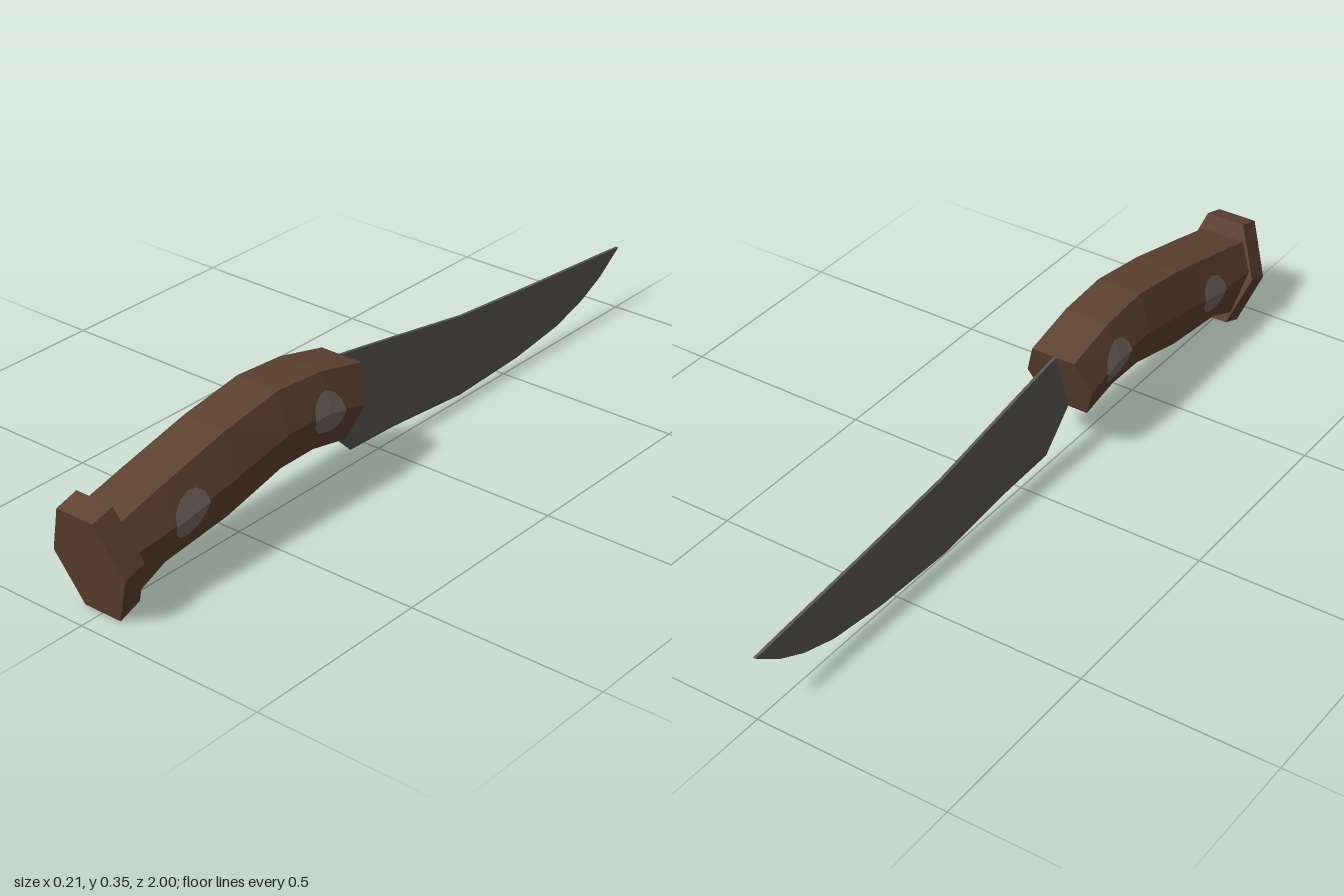
import * as THREE from 'three';

// Skins rings of points, ordered by rising z and anticlockwise seen from +z, with flat faces and caps.
function loft(rings) {
  const pos = [];
  const tri = (a, b, c) => pos.push(...a, ...b, ...c);
  const n = rings[0].length;
  for (let i = 0; i < rings.length - 1; i++) {
    for (let j = 0; j < n; j++) {
      const k = (j + 1) % n;
      tri(rings[i][j], rings[i][k], rings[i + 1][k]);
      tri(rings[i][j], rings[i + 1][k], rings[i + 1][j]);
    }
  }
  const first = rings[0], last = rings[rings.length - 1];
  for (let j = 1; j < n - 1; j++) {
    tri(first[0], first[j + 1], first[j]);
    tri(last[0], last[j], last[j + 1]);
  }
  const g = new THREE.BufferGeometry();
  g.setAttribute('position', new THREE.Float32BufferAttribute(pos, 3));
  g.computeVertexNormals();
  return g;
}

// Six-sided section from [z, y] of its bottom, ridge and top.
const hexRing = (bottom, mid, top, narrow, wide) =>
  [[narrow, bottom], [wide, mid], [narrow, top], [-narrow, top], [-wide, mid], [-narrow, bottom]]
    .map(([x, [z, y]]) => [x, y, z]);

// Thin section with a small sharpened wedge along its lower edge.
function bladeRing([bz, by], [tz, ty], t) {
  const f = 0.04, z = bz + (tz - bz) * f, y = by + (ty - by) * f;
  return [[0, by, bz], [t, y, z], [t, ty, tz], [-t, ty, tz], [-t, y, z]];
}

export function createModel() {
  const wood = new THREE.MeshStandardMaterial({ name: 'brown wood', color: 0x5e4130 });
  const steel = new THREE.MeshStandardMaterial({ name: 'dark steel', color: 0x585655 });
  const pin = new THREE.MeshStandardMaterial({ name: 'rivet grey', color: 0x74665f });
  const knife = new THREE.Group();
  knife.name = 'knife';
  const add = (name, geometry, material) => {
    const mesh = new THREE.Mesh(geometry, material);
    mesh.name = name;
    knife.add(mesh);
    return mesh;
  };

  // Curved handle: bottom, ridge and top of each section
  const grip = [
    [[0.195, 0.13], [0.165, 0.217], [0.135, 0.305]],
    [[0.31, 0.153], [0.285, 0.25], [0.28, 0.34]],
    [[0.42, 0.152], [0.425, 0.252], [0.425, 0.35]],
    [[0.6, 0.11], [0.6, 0.217], [0.6, 0.323]],
    [[0.8, 0.087], [0.8, 0.185], [0.8, 0.276]],
    [[0.895, 0.046], [0.915, 0.172], [0.94, 0.241]],
  ];
  add('handle', loft(grip.map(([b, m, t]) => hexRing(b, m, t, 0.06, 0.093))), wood);

  // Tilted end cap
  add('pommel', loft([
    hexRing([0.875, 0.022], [0.907, 0.154], [0.94, 0.287], 0.053, 0.106),
    hexRing([0.935, 0], [0.967, 0.135], [1, 0.27], 0.053, 0.106),
  ]), wood);

  // Blade, from tip to handle: lower edge and spine
  const outline = [
    [[-1, 0.174], [-1, 0.174]],
    [[-0.92, 0.115], [-0.92, 0.181]],
    [[-0.84, 0.075], [-0.84, 0.187]],
    [[-0.737, 0.043], [-0.737, 0.195]],
    [[-0.56, 0.02], [-0.61, 0.205]],
    [[-0.325, 0.01], [-0.325, 0.23]],
    [[-0.06, 0.032], [-0.06, 0.274]],
    [[0.1, 0.037], [0.1, 0.3]],
    [[0.195, 0.13], [0.135, 0.305]],
  ];
  const blade = add('blade', loft(outline.map(([b, t]) => bladeRing(b, t, 0.004))), steel);
  blade.position.x = -0.005;

  // Height of the handle's side ridge at any z
  const ridge = (z) => {
    const m = grip.map((s) => s[1]);
    let i = 0;
    while (i < m.length - 2 && z > m[i + 1][0]) i++;
    return THREE.MathUtils.mapLinear(z, m[i][0], m[i + 1][0], m[i][1], m[i + 1][1]);
  };

  // Rivet plates folded over the ridge on both sides
  for (const side of [1, -1]) {
    for (const [name, z0] of [['frontRivet', 0.285], ['rearRivet', 0.742]]) {
      let g = new THREE.CircleGeometry(0.054, 12);
      const p = g.attributes.position;
      for (let i = 0; i < p.count; i++) {
        const z = z0 - side * p.getX(i), dy = p.getY(i);
        p.setXYZ(i, side * (0.096 - 0.32 * Math.abs(dy)), ridge(z) + dy - 0.003, z);
      }
      g = g.toNonIndexed();
      g.computeVertexNormals();
      add((side > 0 ? 'left ' : 'right ') + name, g, pin);
    }
  }
  return knife;
}
